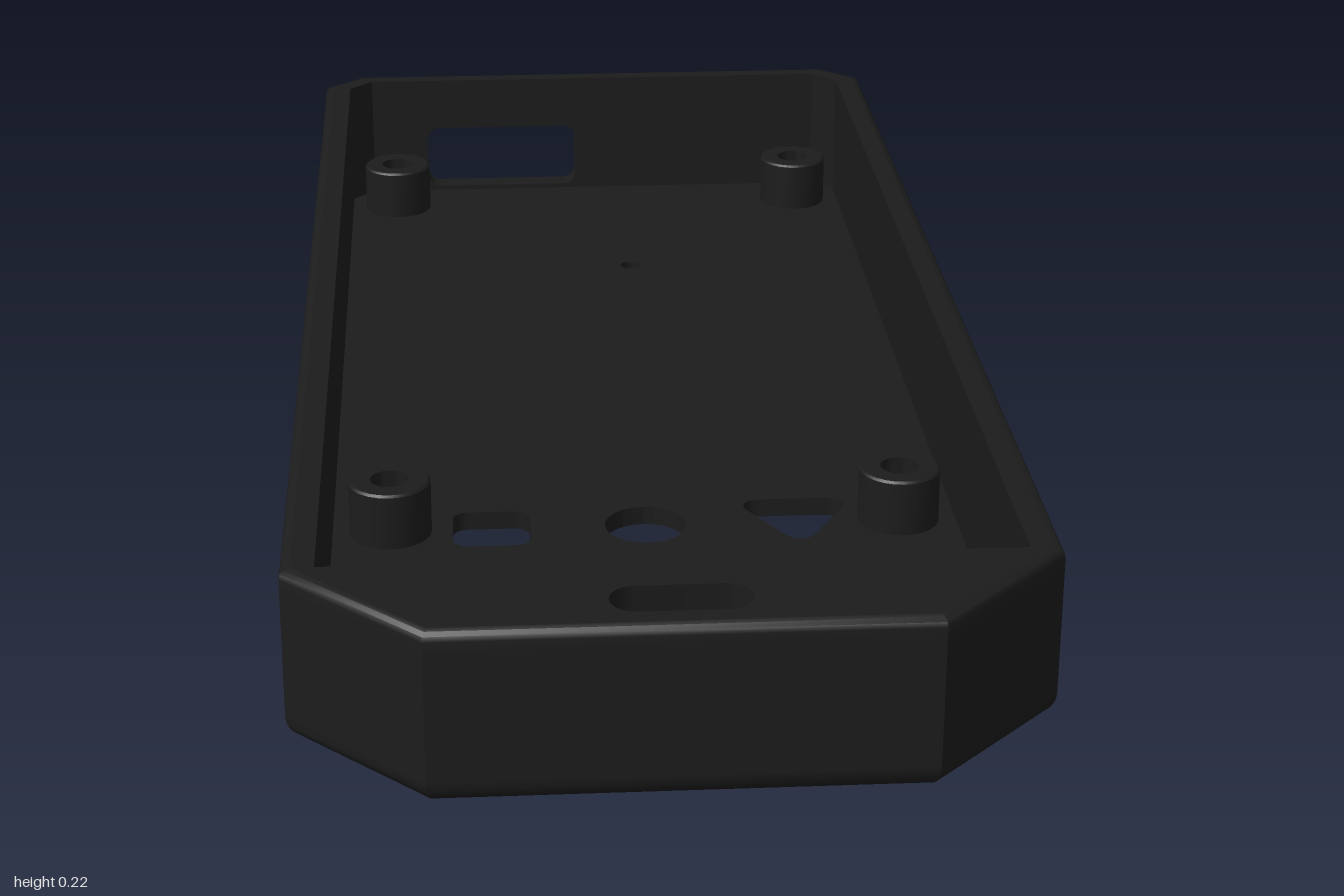
import * as THREE from 'three';
import { toCreasedNormals } from 'three/addons/utils/BufferGeometryUtils.js';

const H = 0.218, FLOOR = 0.025;
const PORT = { x0: -0.28, x1: -0.03, y0: 0.031, y1: 0.136 };
const POCKET = { x0: 0.11, x1: 0.33, y0: 0.155, y1: 0.19, depth: 0.035 };

// Outer outline inset by d; vents sink by r into both long sides
function outline(d, r = 0) {
  const m = d * 0.414, hw = 0.445 - d;
  const side = [[0.285 - m, 1 - d], [hw, 0.84 - m]];
  for (let i = 0; i < 9; i++) {
    const z = -0.262 - i * 0.05;
    side.push([hw, z], [hw - r, z], [hw - r, z - 0.02], [hw, z - 0.02]);
  }
  side.push([hw, -0.945 + m], [0.387 - m, -1 + d]);
  const other = side.map(([x, z]) => [-x, z]).reverse();
  return [...side, [PORT.x1, -1 + d], [PORT.x0, -1 + d], ...other];
}

// Outline of the cavity
function cavity() {
  const side = [[POCKET.x0, 0.835], [POCKET.x1, 0.835], [0.405, 0.835], [0.405, -0.93], [0.37, -0.965]];
  const other = side.map(([x, z]) => [-x, z]).reverse();
  return [...side, [PORT.x1, -0.965], [PORT.x0, -0.965], ...other];
}

// Walls between closed loops at given heights; open(x, y, z) leaves a gap
function loft(rings, open = () => false) {
  const pos = [];
  const A = new THREE.Vector3(), B = new THREE.Vector3();
  const tri = (a, b, c) => {
    A.subVectors(b, a); B.subVectors(c, a);
    if (A.cross(B).length() > 1e-9) for (const p of [a, b, c]) pos.push(p.x, p.y, p.z);
  };
  for (let k = 0; k < rings.length - 1; k++) {
    const [p, y0] = rings[k], [q, y1] = rings[k + 1], n = p.length;
    for (let j = 0; j < n; j++) {
      const i = (j + 1) % n;
      const v = [[p[j], y0], [p[i], y0], [q[i], y1], [q[j], y1]].map(([c, y]) => new THREE.Vector3(c[0], y, c[1]));
      const mid = v[0].clone().add(v[2]).multiplyScalar(0.5);
      if (open(mid.x, mid.y, mid.z)) continue;
      tri(v[0], v[1], v[2]);
      tri(v[0], v[2], v[3]);
    }
  }
  const g = new THREE.BufferGeometry();
  g.setAttribute('position', new THREE.Float32BufferAttribute(pos, 3));
  return toCreasedNormals(g, 0.6);
}

const inPort = (x, y, z) => z < -0.96 && x > PORT.x0 && x < PORT.x1 && y > PORT.y0 && y < PORT.y1;
const inPocket = (x, y, z) => z > 0.8 && Math.abs(x) > POCKET.x0 && Math.abs(x) < POCKET.x1 && y > POCKET.y0 && y < POCKET.y1;

const polygon = (pts) => new THREE.Shape(pts.map(([x, z]) => new THREE.Vector2(x, z)));
const circle = (x, z, r) => new THREE.Shape().absarc(x, z, r, 0, Math.PI * 2);

// Polygon with rounded corners
function rounded(pts, r) {
  const s = new THREE.Shape(), v = pts.map(([x, z]) => new THREE.Vector2(x, z)), n = v.length;
  v.forEach((c, i) => {
    const toward = (o) => c.clone().add(o.clone().sub(c).setLength(r));
    const a = toward(v[(i + n - 1) % n]), b = toward(v[(i + 1) % n]);
    if (i) s.lineTo(a.x, a.y); else s.moveTo(a.x, a.y);
    const p = a.clone().lerp(c, 0.55), q = b.clone().lerp(c, 0.55);
    s.bezierCurveTo(p.x, p.y, q.x, q.y, b.x, b.y);
  });
  s.closePath();
  return s;
}
const rect = (x0, x1, z0, z1) => [[x0, z0], [x1, z0], [x1, z1], [x0, z1]];

// Horizontal slab drawn in x and z, with its top at the given height
function slab(shapes, top, depth) {
  const g = new THREE.ExtrudeGeometry(shapes, { depth, bevelEnabled: false, curveSegments: 12 });
  return g.rotateX(Math.PI / 2).translate(0, top, 0);
}

export function createModel() {
  const group = new THREE.Group();
  const black = new THREE.MeshStandardMaterial({ name: 'black plastic', color: 0x1c1c1c, side: THREE.DoubleSide });
  const green = new THREE.MeshStandardMaterial({ name: 'green inlay', color: 0x2ec86a });
  const orange = new THREE.MeshStandardMaterial({ name: 'orange inlay', color: 0xd35a00 });
  const add = (name, geometry, material = black) => {
    const m = new THREE.Mesh(geometry, material);
    m.name = name;
    group.add(m);
    return m;
  };

  // Outer wall: rounded bottom edge, vent grooves, small rounded top edge
  const R = 0.03, T = 0.012, outer = [];
  for (let i = 0; i <= 5; i++) {
    const a = i / 5 * Math.PI / 2;
    outer.push([outline(R * (1 - Math.sin(a))), R * (1 - Math.cos(a))]);
  }
  outer.push([outline(0), PORT.y0], [outline(0), 0.047], [outline(0, 0.015), 0.047],
    [outline(0, 0.015), PORT.y1], [outline(0, 0.015), 0.188], [outline(0), 0.188]);
  for (let i = 0; i <= 3; i++) {
    const a = i / 3 * Math.PI / 2;
    outer.push([outline(T * (1 - Math.cos(a))), H - T + T * Math.sin(a)]);
  }
  add('outerWall', loft(outer, inPort));

  // Cavity wall, from the rim down to the floor
  const levels = [H, POCKET.y1, POCKET.y0, PORT.y1, PORT.y0, FLOOR];
  add('innerWall', loft(levels.map((y) => [cavity(), y]), (x, y, z) => inPort(x, y, z) || inPocket(x, y, z)));

  // Rim with the strap slot
  const strap = () => rounded(rect(-0.08, 0.08, 0.903, 0.965), 0.0305);
  const rim = polygon(outline(T));
  rim.holes.push(polygon(cavity()), strap());
  add('rim', slab(rim, H, 0.008));
  const loop = strap().getPoints(10).slice(0, -1).map((p) => [p.x, p.y]);
  add('strapSlotWall', loft([[loop, 0], [loop, H]]));

  // Floor with screen window, three button holes, small hole and screw holes
  const posts = [[-0.33, -0.886], [0.33, -0.886], [-0.33, 0.353], [0.33, 0.353]];
  const floor = polygon(outline(R));
  floor.holes.push(
    strap(),
    polygon(rect(-0.265, 0.26, 0.478, 0.799)),
    rounded(rect(-0.25, -0.15, 0.303, 0.403), 0.02),
    circle(0, 0.353, 0.053),
    rounded([[0.117, 0.287], [0.279, 0.287], [0.198, 0.427]], 0.04),
    circle(0.04, -0.588, 0.016),
    ...posts.map(([x, z]) => circle(x, z, 0.037)),
  );
  add('floor', slab(floor, FLOOR, FLOOR));

  // Screw posts, counterbored from below
  const profile = [[0.037, 0], [0.037, 0.03], [0.025, 0.03], [0.025, 0.1], [0.05, 0.1], [0.053, 0.097], [0.053, FLOOR]];
  const postGeo = toCreasedNormals(new THREE.LatheGeometry(profile.map(([x, y]) => new THREE.Vector2(x, y)), 24), 0.6);
  for (const [x, z] of posts) add('screwPost', postGeo).position.set(x, 0, z);

  // Rounded frame lining the port in the back wall
  const frame = polygon(rect(PORT.x0, PORT.x1, PORT.y0, PORT.y1));
  frame.holes.push(rounded(rect(PORT.x0 + 0.001, PORT.x1 - 0.001, PORT.y0 + 0.001, PORT.y1 - 0.001), 0.02));
  add('portFrame', new THREE.ExtrudeGeometry(frame, { depth: 0.035, bevelEnabled: false }).translate(0, 0, -1));

  // Latch pockets sunk into the front block, open toward the cavity
  const { x0, x1, y0, y1, depth } = POCKET;
  for (const s of [-1, 1]) {
    const g = new THREE.BoxGeometry(x1 - x0, y1 - y0, depth);
    g.setIndex(Array.from(g.index.array).slice(0, 30));
    add('latchPocket', g).position.set(s * (x0 + x1) / 2, (y0 + y1) / 2, 0.835 + depth / 2);
  }

  // Support blocks in the front corners
  for (const [a, b] of [[0.35, 0.41], [-0.41, -0.295]]) {
    add('supportBlock', new THREE.BoxGeometry(b - a, 0.08, 0.085)).position.set((a + b) / 2, FLOOR + 0.04, 0.797);
  }

  // Coloured inlays on the underside
  const corners = [[0.14, -0.357], [-0.14, -0.357], [0.004, 0.064]];
  add('triangleInlay', slab([polygon(corners), ...corners.map(([x, z]) => circle(x, z, 0.062))], 0.003, 0.004), green);
  add('dotInlays', slab([-1, 1].map((s) => circle(s * 0.227, -0.091, 0.037)), 0.003, 0.004), orange);

  return group;
}
